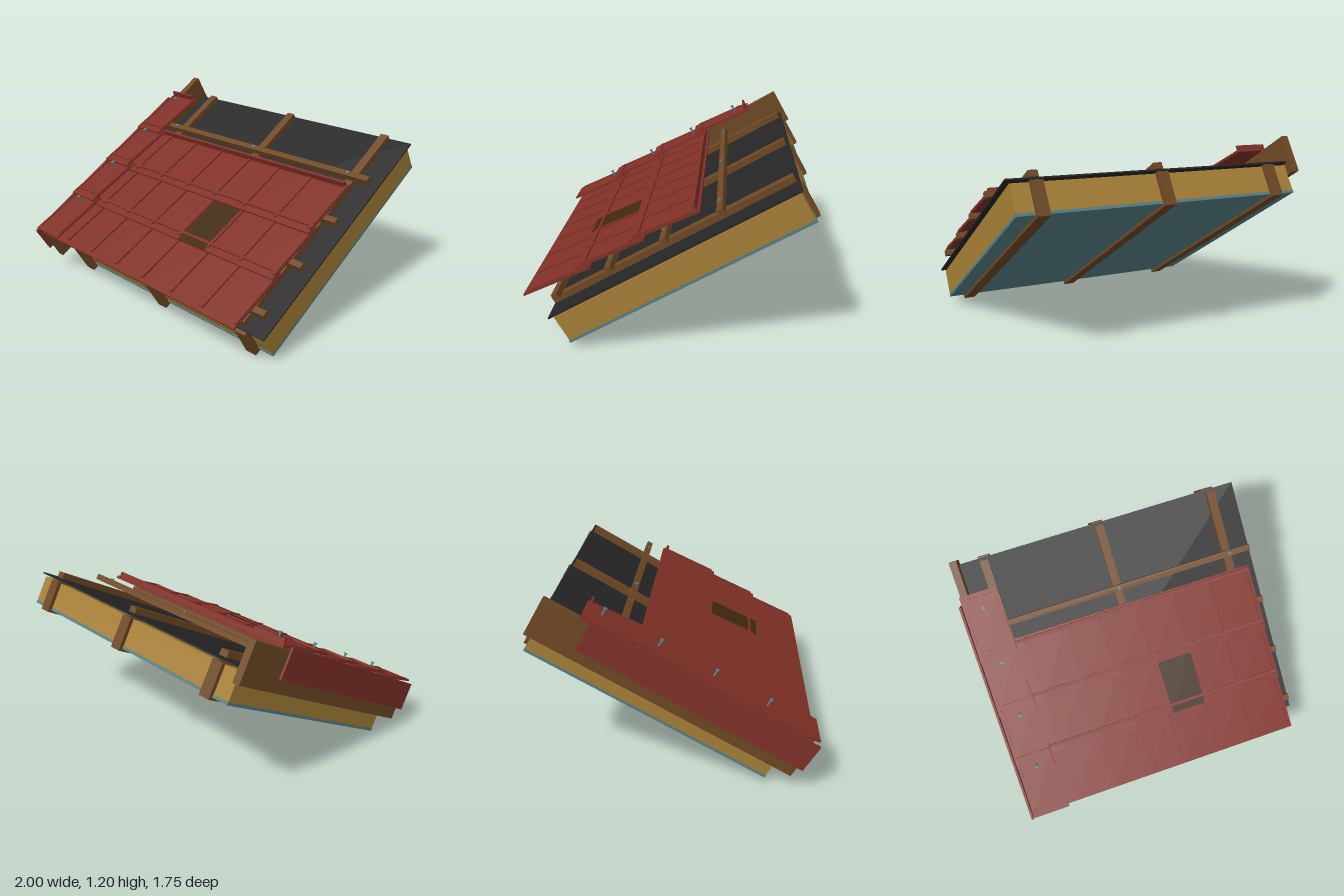
import * as THREE from 'three';

const mat = (name, color) => {
  const m = new THREE.MeshStandardMaterial({ color });
  m.name = name;
  return m;
};

export function createModel() {
  const wood = mat('timber brown', 0x6e4824);
  const red = mat('tile red', 0x803027);
  const black = mat('membrane black', 0x262626);
  const yellow = mat('insulation yellow', 0xa67f36);
  const teal = mat('lining teal', 0x568084);
  const dark = mat('dark brown', 0x40290f);

  const model = new THREE.Group();
  model.name = 'roofSection';

  // Slope frame: local y is the roof normal, local -z runs up the slope
  const slope = new THREE.Group();
  slope.name = 'pitchedRoof';
  slope.rotation.x = Math.PI / 6;
  slope.position.z = 0.59;
  model.add(slope);

  // Box from ranges: x across, u up the slope, v along the roof normal
  const slab = (name, material, [x0, x1], [u0, u1], [v0, v1], parent = slope) => {
    const mesh = new THREE.Mesh(new THREE.BoxGeometry(x1 - x0, v1 - v0, u1 - u0), material);
    mesh.position.set((x0 + x1) / 2, (v0 + v1) / 2, -(u0 + u1) / 2);
    mesh.name = name;
    parent.add(mesh);
    return mesh;
  };
  const around = (c, w) => [c - w / 2, c + w / 2];

  // Screw with shaft and flat head
  const screw = (name, x, u, v, height) => {
    const g = new THREE.Group();
    g.name = name;
    const shaft = new THREE.Mesh(new THREE.CylinderGeometry(0.007, 0.007, height, 8), teal);
    shaft.name = 'screwShaft';
    shaft.position.y = height / 2;
    const head = new THREE.Mesh(new THREE.CylinderGeometry(0.012, 0.012, 0.008, 8), teal);
    head.name = 'screwHead';
    head.position.y = height;
    g.add(shaft, head);
    g.position.set(x, v, -u);
    slope.add(g);
  };

  // Layers: lining, insulation, membrane
  slab('innerLining', teal, [-0.91, 0.975], [0.038, 1.668], [0.017, 0.035]);
  slab('insulation', yellow, [-0.91, 0.975], [0.043, 1.665], [0.035, 0.209]);
  slab('membrane', black, [-0.94, 1], [0.02, 1.68], [0.221, 0.231]);

  // Rafters with counter battens above them
  const rafterX = [-0.76, 0.032, 0.825];
  for (const x of rafterX) {
    slab('rafter', wood, around(x, 0.077), [0, 1.69], [0, 0.213]);
    slab('counterBatten', wood, around(x, 0.057), [0.043, 1.663], [0.241, 0.281]);
  }

  // Horizontal tile battens and their fixings
  const pitch = 0.368;
  for (let i = 0; i < 4; i++) {
    const u = 0.125 + i * pitch;
    slab('tileBatten', wood, [-0.91, 0.975], around(u, 0.04), [0.299, 0.338]);
    for (const x of rafterX) screw('battenScrew', x, u, 0.33, 0.014);
  }

  // Barge board and verge flange along the left edge
  slab('bargeBoard', wood, [-0.97, -0.922], [-0.06, 1.71], [0.145, 0.394]);
  slab('vergeFlange', red, [-1, -0.985], [-0.085, 1.42], [0.23, 0.42]);

  // One tilted course, hinged at its lower edge
  const length = 0.45, tilt = 0.08;
  const course = (name, u, v) => {
    const g = new THREE.Group();
    g.name = name;
    g.position.set(0, v, -u);
    g.rotation.x = -tilt;
    slope.add(g);
    return g;
  };

  // Field tiles: three courses of seven, with interlocking ribs
  const tileW = 1.84 / 7;
  for (let row = 0; row < 3; row++) {
    const g = course('fieldTileCourse', -0.065 + row * pitch, 0.394);
    for (let col = 0; col < 7; col++) {
      const x = -0.92 + col * tileW;
      slab('fieldTile', red, [x, x + tileW], [0, length], [0, 0.012], g);
      slab('tileRib', red, [x + tileW - 0.026, x + tileW - 0.004], [0.03, length - 0.01], [0.012, 0.022], g);
    }
    slab('headLip', red, [-0.905, 0.905], [length - 0.034, length - 0.016], [0.012, 0.052], g);
    // Dark panel on the tile in the middle course
    if (row === 1) slab('darkTilePanel', dark, [0.137, 0.366], [0.002, 0.39], [0.012, 0.017], g);
  }

  // Verge tiles: four lapped pieces with clips and screws
  for (let row = 0; row < 4; row++) {
    const u = -0.07 + row * pitch;
    const g = course('vergeTileCourse', u, 0.434);
    slab('vergeTile', red, [-0.978, -0.732], [0, length], [0, 0.012], g);
    slab('vergeHeadLip', red, [-0.965, -0.742], [length - 0.028, length - 0.014], [0.012, 0.05], g);
    for (const x of [-0.965, -0.745]) {
      slab('vergeRib', red, around(x, 0.012), [0.03, length - 0.02], [0.012, 0.018], g);
    }
    screw('vergeScrew', -0.85, u + 0.345, 0.425, 0.045);
  }

  return model;
}
